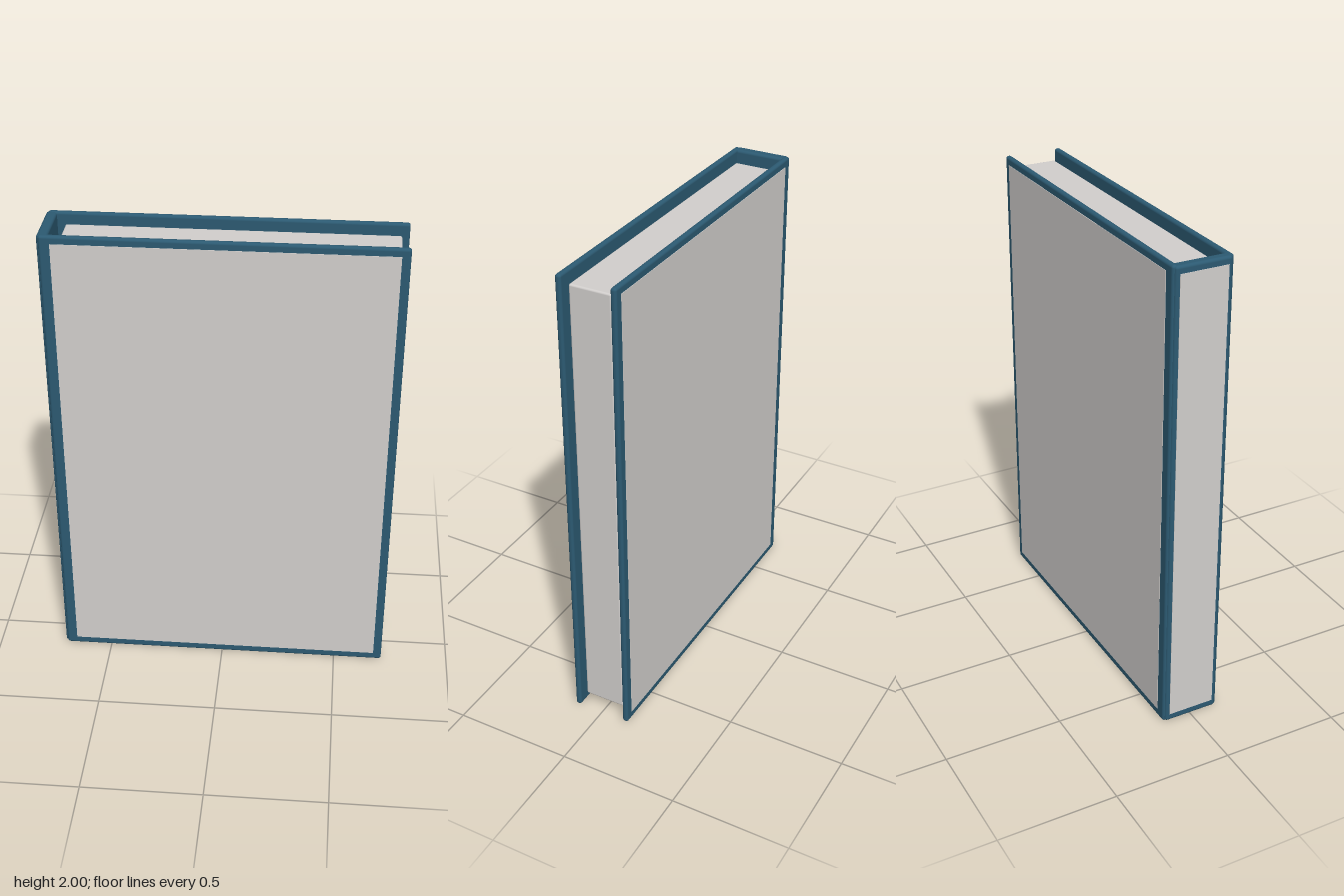
import * as THREE from 'three';
import { RoundedBoxGeometry } from 'three/addons/geometries/RoundedBoxGeometry.js';

const binding = new THREE.MeshStandardMaterial({ name: 'blue binding', color: 0x2c5a72 });
const paper = new THREE.MeshStandardMaterial({ name: 'warm grey paper', color: 0xd2cfcd });

export function createModel() {
  const book = new THREE.Group();
  book.name = 'book';

  // Adds a box given by its two extreme corners; a radius rounds its edges
  function addBox(name, material, min, max, radius = 0) {
    const size = max.map((v, i) => v - min[i]);
    const geometry = radius
      ? new RoundedBoxGeometry(...size, 3, radius)
      : new THREE.BoxGeometry(...size);
    const mesh = new THREE.Mesh(geometry, material);
    mesh.name = name;
    mesh.position.set(...max.map((v, i) => (v + min[i]) / 2));
    book.add(mesh);
  }

  // Cover boards, each with a thin paper panel on its outer face
  for (const [side, s] of [['front', 1], ['back', -1]]) {
    const slab = (name, material, x0, x1, y0, y1, zIn, zOut, radius) =>
      addBox(name, material,
        [x0, y0, Math.min(s * zIn, s * zOut)],
        [x1, y1, Math.max(s * zIn, s * zOut)], radius);
    slab(side + 'Cover', binding, -0.7, 0.71, 0, 2, 0.101, 0.126, 0.011);
    slab(side + 'Panel', paper, -0.655, 0.675, 0.035, 1.968, 0.123, 0.128);
  }

  // Spine board and its panel
  addBox('spine', binding, [-0.708, 0.002, -0.118], [-0.665, 1.998, 0.118], 0.012);
  addBox('spinePanel', paper, [-0.71, 0.035, -0.1], [-0.705, 1.968, 0.1]);

  // Page block, set in from the boards
  addBox('pages', paper, [-0.63, 0.05, -0.088], [0.68, 1.958, 0.088], 0.008);

  return book;
}
